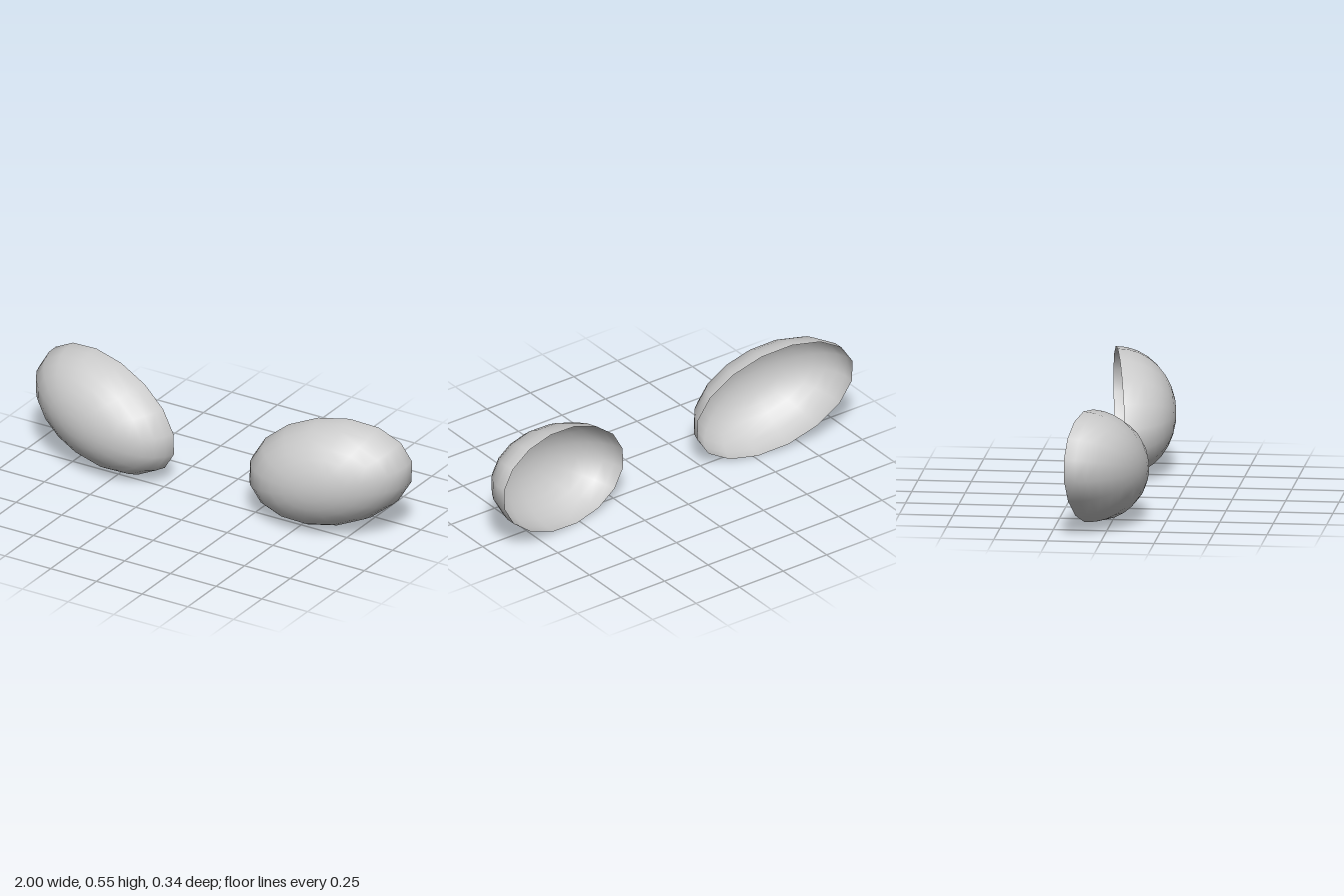
import * as THREE from 'three';

export function createModel() {
  const group = new THREE.Group();
  const material = new THREE.MeshStandardMaterial({ color: 0xcccccc, side: THREE.DoubleSide });

  // Open half-ellipsoid shell: pole faces +z, hollow side faces back
  const shell = new THREE.SphereGeometry(1, 16, 8, 0, Math.PI * 2, 0, Math.PI / 2);
  shell.rotateX(Math.PI / 2);
  shell.scale(0.415, 0.263, 0.266);

  // Mirrored pair, outer ends raised and swept back
  for (const side of [1, -1]) {
    const eye = new THREE.Mesh(shell, material);
    eye.name = side > 0 ? 'leftEyeShell' : 'rightEyeShell';
    eye.rotation.order = 'YXZ';
    eye.rotation.set(0, side * 0.181, side * 0.27);
    eye.position.set(side * 0.607, 0.282, -0.1);
    group.add(eye);
  }
  return group;
}
